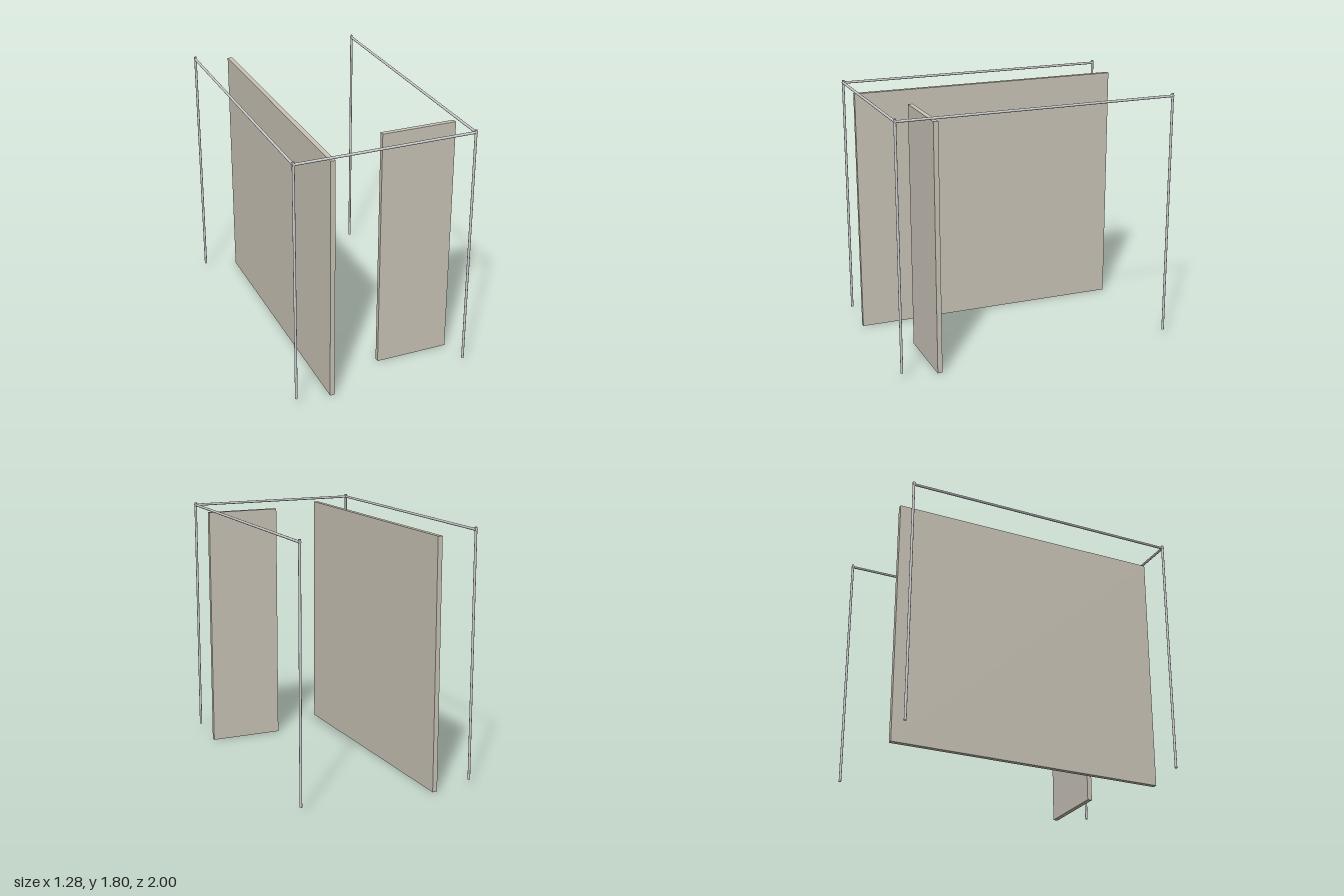
import * as THREE from 'three';

export function createModel() {
  const model = new THREE.Group();
  const metal = new THREE.MeshStandardMaterial({ color: 0xcccccc });
  const panel = new THREE.MeshStandardMaterial({ color: 0xcbc5b8 });
  const X = 0.63, Z = 0.991, R = 0.009, RAIL_Y = 1.782;

  // Upright slab given by its extents in x and z
  function wall(name, x0, x1, z0, z1) {
    const height = 1.757;
    const mesh = new THREE.Mesh(new THREE.BoxGeometry(x1 - x0, height, z1 - z0), panel);
    mesh.position.set((x0 + x1) / 2, height / 2, (z0 + z1) / 2);
    mesh.name = name;
    model.add(mesh);
  }

  // Round tube along one axis
  function tube(name, length, axis, x, y, z) {
    const geometry = new THREE.CylinderGeometry(R, R, length, 16);
    if (axis === 'x') geometry.rotateZ(Math.PI / 2);
    if (axis === 'z') geometry.rotateX(Math.PI / 2);
    const mesh = new THREE.Mesh(geometry, metal);
    mesh.position.set(x, y, z);
    mesh.name = name;
    model.add(mesh);
  }

  // Partition walls
  wall('longWall', -0.381, -0.347, -0.99, 0.985);
  wall('shortWall', 0.09, 0.623, 0.701, 0.735);

  // Corner posts and side rails, mirrored; the back stays open
  for (const side of [-1, 1]) {
    const label = side > 0 ? 'left' : 'right';
    tube(label + 'FrontPost', 1.75, 'y', side * X, 0.925, Z);
    tube(label + 'BackPost', 1.75, 'y', side * X, 0.925, -Z);
    tube(label + 'TopRail', 2 * Z + 0.016, 'z', side * X, RAIL_Y, 0);
  }

  // Rail across the front
  tube('frontTopRail', 2 * X + 0.016, 'x', 0, RAIL_Y, Z);

  return model;
}
